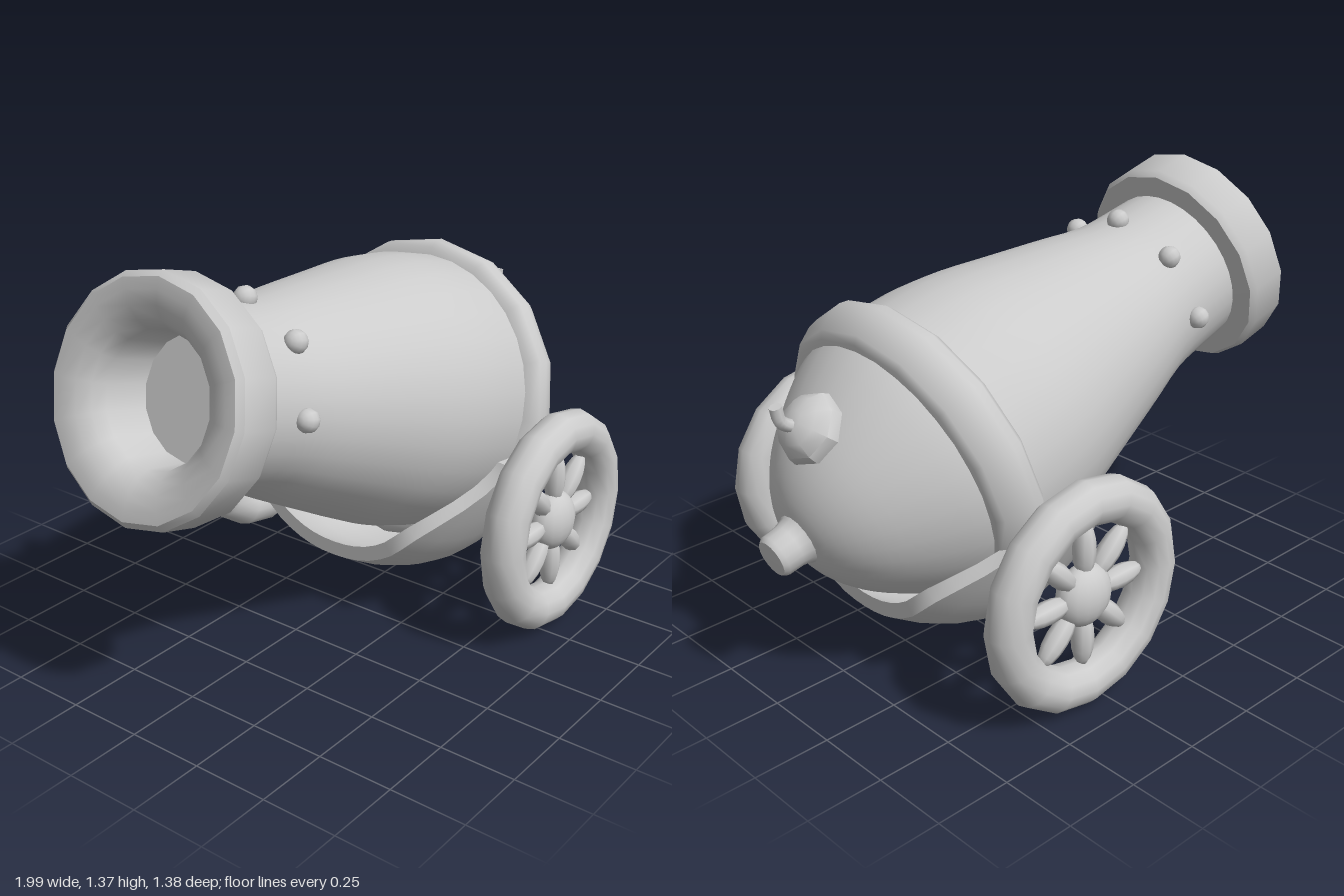
import * as THREE from 'three';
import { toCreasedNormals } from 'three/addons/utils/BufferGeometryUtils.js';

const material = new THREE.MeshStandardMaterial({ color: 0xcccccc });

function part(name, geometry, parent) {
  const mesh = new THREE.Mesh(geometry, material);
  mesh.name = name;
  parent.add(mesh);
  return mesh;
}

// Lathe from [radius, height] pairs, keeping hard edges sharp
function lathe(points, sides, crease = 0.75) {
  const profile = points.map(([r, y]) => new THREE.Vector2(r, y));
  return toCreasedNormals(new THREE.LatheGeometry(profile, sides), crease);
}

// Smooth lathe through a few control points
function curvedLathe(points, sides, steps) {
  const curve = new THREE.SplineCurve(points.map(([r, y]) => new THREE.Vector2(r, y)));
  const profile = curve.getPoints(steps);
  profile.forEach((p) => { p.x = Math.max(p.x, 0); });
  return new THREE.LatheGeometry(profile, sides);
}

// Curved saddle: wide below the barrel, narrowing to a tip beside each wheel
function cradleGeometry() {
  const section = new THREE.SplineCurve([
    [-0.55, 0.585], [-0.485, 0.43], [-0.35, 0.215], [-0.185, 0.11], [0, 0.08],
    [0.185, 0.11], [0.35, 0.215], [0.485, 0.43], [0.55, 0.585],
  ].map(([z, y]) => new THREE.Vector2(z, y)));
  const rows = 24, cols = 8, loop = 2 * (cols + 1), centreY = 0.63;
  const positions = [], index = [];
  for (let i = 0; i <= rows; i++) {
    const p = section.getPoint(i / rows);
    const k = Math.abs(2 * i / rows - 1);
    const half = 0.35 - 0.23 * THREE.MathUtils.smoothstep(k, 0.5, 1);
    for (let j = 0; j < loop; j++) {
      const inner = j > cols;
      const s = (inner ? loop - 1 - j : j) / cols * 2 - 1;
      const u = s * half / 0.35;
      const scale = 1 - 0.21 * u * u - (inner ? 0.09 : 0);
      positions.push(0.305 + s * half, centreY + (p.y - centreY) * scale, p.x * scale);
    }
  }
  for (let i = 0; i < rows; i++) {
    for (let j = 0; j < loop; j++) {
      const a = i * loop + j, b = i * loop + (j + 1) % loop;
      index.push(a, b, a + loop, b, b + loop, a + loop);
    }
  }
  const last = rows * loop;
  for (let j = 1; j < loop - 1; j++) {
    index.push(0, j + 1, j, last, last + j, last + j + 1);
  }
  const geometry = new THREE.BufferGeometry();
  geometry.setAttribute('position', new THREE.Float32BufferAttribute(positions, 3));
  geometry.setIndex(index);
  return toCreasedNormals(geometry, 0.8);
}

function createWheel(name) {
  const wheel = new THREE.Group();
  wheel.name = name;
  part('rim', new THREE.TorusGeometry(0.302, 0.071, 12, 16), wheel);
  part('hub', new THREE.SphereGeometry(0.1, 16, 12), wheel).scale.z = 0.65;
  for (let i = 0; i < 8; i++) {
    const angle = i * Math.PI / 4;
    const spoke = part('spoke', new THREE.SphereGeometry(1, 8, 8), wheel);
    spoke.scale.set(0.036, 0.095, 0.036);
    spoke.position.set(Math.cos(angle) * 0.15, Math.sin(angle) * 0.15, 0);
    spoke.rotation.z = angle - Math.PI / 2;
  }
  return wheel;
}

export function createModel() {
  const model = new THREE.Group();
  model.name = 'cannon';

  // Tilted barrel assembly: local +y runs from muzzle to breech, local -x is up
  const barrel = new THREE.Group();
  barrel.name = 'barrelAssembly';
  barrel.position.set(-0.9, 1.03, 0);
  barrel.rotation.z = -THREE.MathUtils.degToRad(105.9);
  model.add(barrel);

  part('muzzleRing', lathe([
    [0, 0.22], [0.19, 0.22], [0.2, 0.07], [0.225, 0.035], [0.265, 0.01], [0.31, 0],
    [0.345, 0], [0.364, 0.018], [0.364, 0.145], [0.35, 0.168], [0.26, 0.172],
  ], 16), barrel);
  part('barrel', curvedLathe([
    [0.275, 0.15], [0.278, 0.22], [0.292, 0.42], [0.342, 0.62],
    [0.394, 0.83], [0.44, 1.02], [0.462, 1.18], [0.465, 1.36],
  ], 32, 20), barrel);
  part('breechBand', lathe([
    [0.44, 1.31], [0.49, 1.313], [0.515, 1.335], [0.522, 1.365],
    [0.515, 1.4], [0.485, 1.462], [0.46, 1.477], [0.42, 1.48],
  ], 16), barrel);
  part('breechDome', curvedLathe([
    [0.46, 1.42], [0.425, 1.51], [0.36, 1.62], [0.275, 1.73],
    [0.19, 1.805], [0.1, 1.85], [0, 1.868],
  ], 32, 18), barrel);
  part('breechKnob', lathe([
    [0.1, 1.835], [0.078, 1.86], [0.07, 1.89], [0.068, 1.94], [0.058, 1.955], [0, 1.957],
  ], 16), barrel);

  // Rivets over the upper half, behind the muzzle
  for (let i = -2; i <= 2; i++) {
    const angle = i * Math.PI / 4;
    const rivet = part('rivet', new THREE.SphereGeometry(0.037, 10, 8), barrel);
    rivet.position.set(-Math.cos(angle) * 0.295, 0.375, Math.sin(angle) * 0.295);
  }

  // Fuse mount and fuse on the dome
  const mount = part('fuseMount', lathe([
    [0.1, -0.05], [0.113, 0], [0.105, 0.03], [0.075, 0.065], [0.03, 0.083], [0, 0.085],
  ], 8), model);
  mount.position.set(0.81, 0.855, 0);
  mount.rotation.z = -0.93;
  const fusePath = new THREE.CatmullRomCurve3([
    [0.85, 0.88], [0.89, 0.892], [0.918, 0.915], [0.93, 0.962],
  ].map(([x, y]) => new THREE.Vector3(x, y, 0)));
  part('fuse', new THREE.TubeGeometry(fusePath, 10, 0.02, 8), model);
  const tip = part('fuseTip', new THREE.CircleGeometry(0.02, 8), model);
  tip.position.copy(fusePath.getPoint(1));
  tip.lookAt(tip.position.clone().add(fusePath.getTangent(1)));

  part('cradle', cradleGeometry(), model);

  // Wheels on both sides
  for (const side of [1, -1]) {
    const wheel = createWheel(side > 0 ? 'frontWheel' : 'backWheel');
    wheel.position.set(0.32, 0.374, side * 0.62);
    model.add(wheel);
  }
  return model;
}
